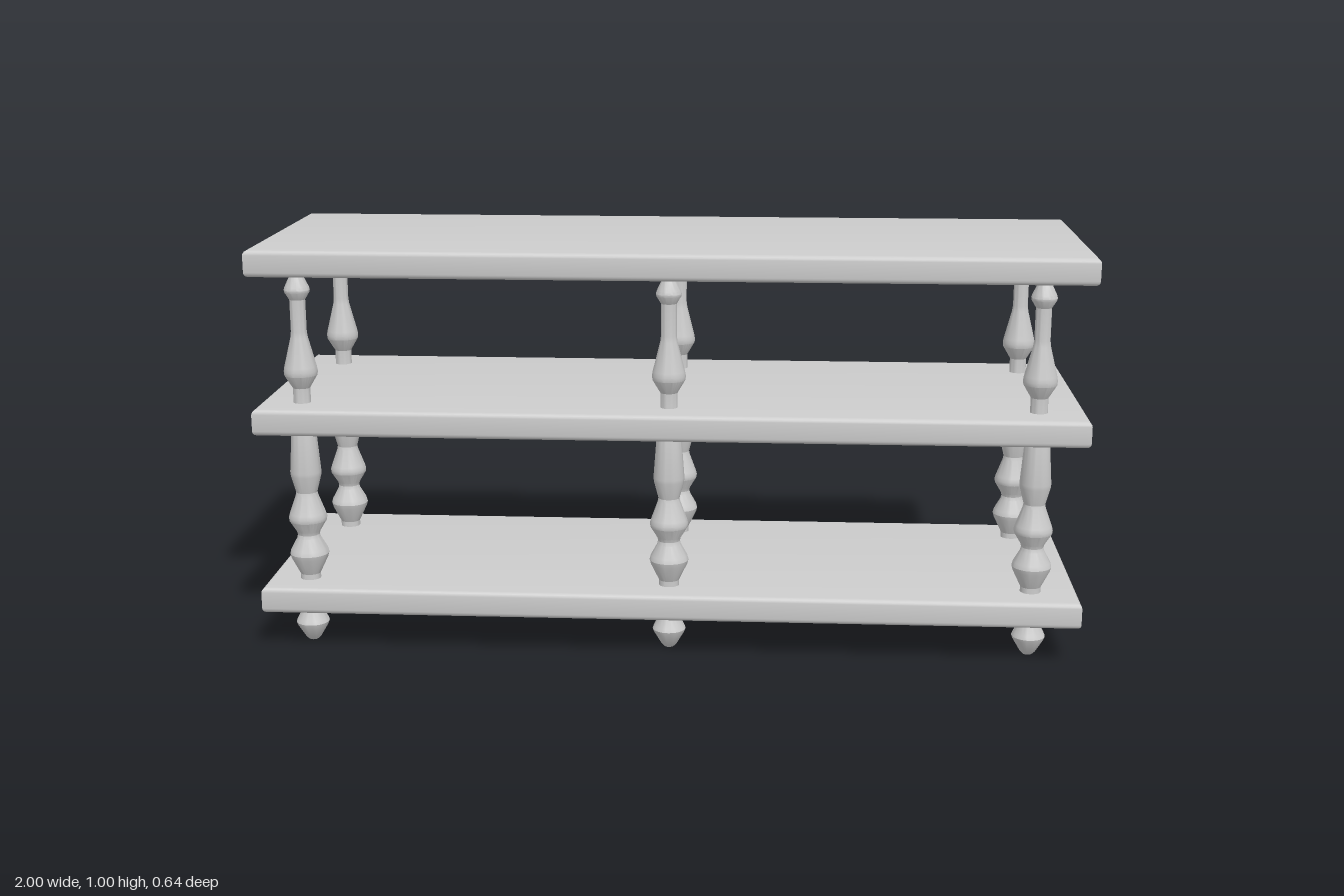
import * as THREE from 'three';
import { toCreasedNormals } from 'three/addons/utils/BufferGeometryUtils.js';

const material = new THREE.MeshStandardMaterial({ color: 0xcccccc });

// Board with softened edges and square corners in plan, centred on the origin
function boardGeometry(width, height, depth, round) {
  const w = width / 2 - round, d = depth / 2 - round;
  const outline = new THREE.Shape([
    new THREE.Vector2(-w, -d), new THREE.Vector2(w, -d),
    new THREE.Vector2(w, d), new THREE.Vector2(-w, d),
  ]);
  const geometry = new THREE.ExtrudeGeometry(outline, {
    depth: height - 2 * round, bevelEnabled: true,
    bevelSize: round, bevelThickness: round, bevelSegments: 4,
  });
  geometry.translate(0, 0, round - height / 2).rotateX(-Math.PI / 2);
  return toCreasedNormals(geometry, 0.6);
}

// Turned post: [radius, height] from foot to top
function postGeometry() {
  const profile = [
    [0, 0], [0.012, 0.001], [0.019, 0.008], [0.038, 0.04], [0.041, 0.048], [0.038, 0.056],
    [0.027, 0.077], [0.025, 0.086], [0.025, 0.176],
    [0.045, 0.217], [0.048, 0.228], [0.045, 0.239], [0.029, 0.268], [0.027, 0.277],
    [0.029, 0.285], [0.046, 0.313], [0.047, 0.322], [0.044, 0.332], [0.028, 0.376], [0.026, 0.386],
    [0.037, 0.428], [0.038, 0.438], [0.029, 0.555],
    [0.021, 0.6], [0.021, 0.65], [0.04, 0.682], [0.041, 0.692], [0.039, 0.703],
    [0.021, 0.775], [0.019, 0.79], [0.019, 0.868],
    [0.03, 0.886], [0.031, 0.892], [0.029, 0.899], [0.018, 0.922], [0.015, 0.93], [0.01, 0.936], [0, 0.936],
  ].map(([r, y]) => new THREE.Vector2(r, y));
  return toCreasedNormals(new THREE.LatheGeometry(profile, 32), 0.45);
}

export function createModel() {
  const model = new THREE.Group();
  const add = (geometry, name, x, y, z) => {
    const mesh = new THREE.Mesh(geometry, material);
    mesh.name = name;
    mesh.position.set(x, y, z);
    model.add(mesh);
  };

  // Three identical shelves
  const board = boardGeometry(2, 0.065, 0.645, 0.012);
  [['bottomShelf', 0.13], ['middleShelf', 0.581], ['topShelf', 0.9675]]
    .forEach(([name, y]) => add(board, name, 0, y, 0));

  // Two rows of three turned posts running through the shelves
  const post = postGeometry();
  for (const [row, z] of [['front', 0.23], ['back', -0.214]]) {
    for (const [side, x] of [['Right', -0.898], ['Middle', 0], ['Left', 0.886]]) {
      add(post, `${row}${side}Post`, x, 0, z);
    }
  }
  return model;
}
